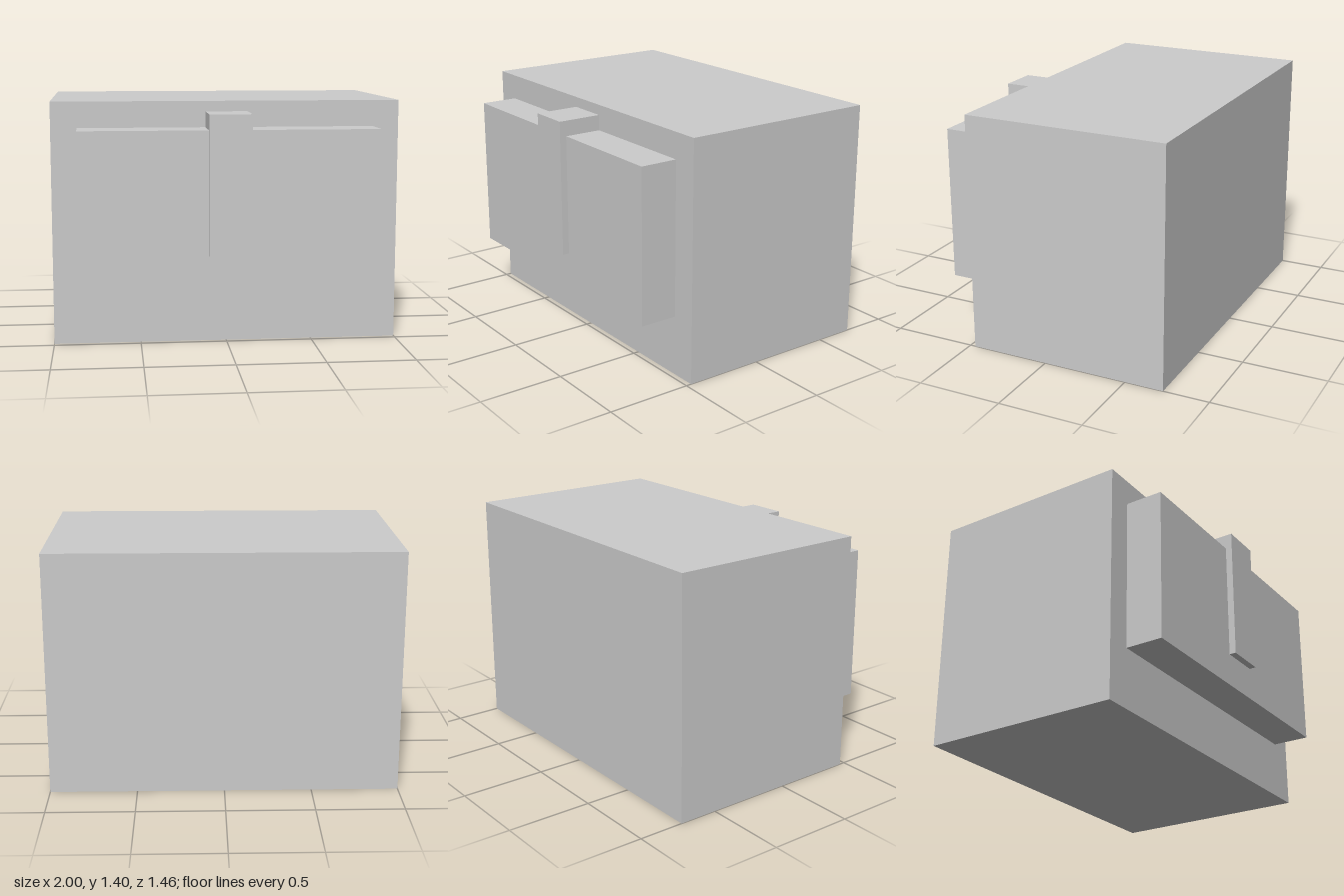
import * as THREE from 'three';

export function createModel() {
  const group = new THREE.Group();
  const material = new THREE.MeshStandardMaterial({ color: 0xcccccc, flatShading: true });

  // Box spanning the given lower and upper corners
  function addBox(name, [x0, y0, z0], [x1, y1, z1]) {
    const mesh = new THREE.Mesh(new THREE.BoxGeometry(x1 - x0, y1 - y0, z1 - z0), material);
    mesh.position.set((x0 + x1) / 2, (y0 + y1) / 2, (z0 + z1) / 2);
    mesh.name = name;
    group.add(mesh);
  }

  const bodyFront = 0.468;
  addBox('body', [-1, 0, -0.73], [1, 1.4, bodyFront]);
  // Raised panel on the front
  addBox('frontPanel', [-0.85, 0.35, bodyFront], [0.85, 1.25, 0.69]);
  // Upright strap crossing the top edge of the panel
  addBox('strap', [-0.12, 0.545, bodyFront], [0.12, 1.34, 0.73]);

  return group;
}
